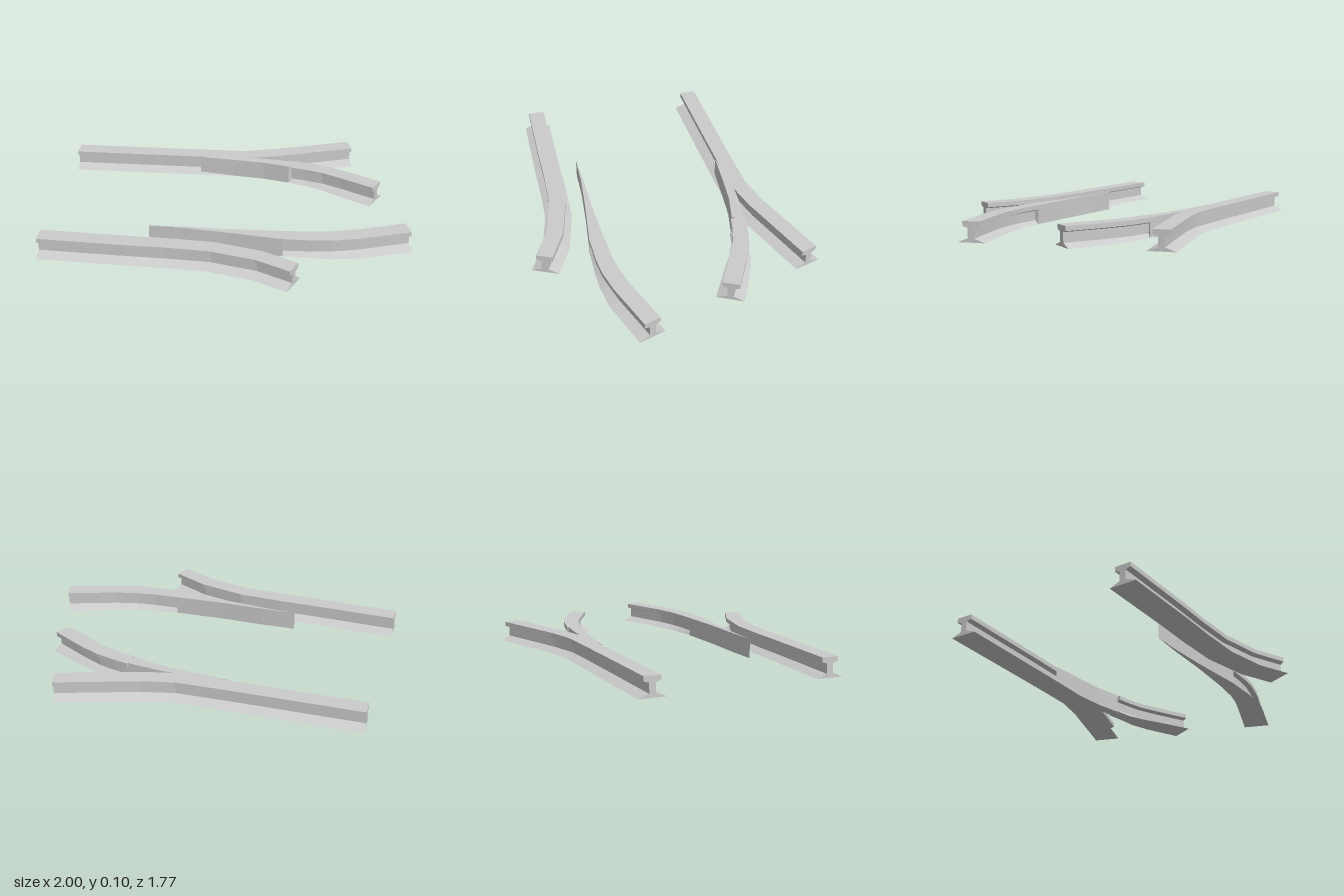
import * as THREE from 'three';

const material = new THREE.MeshStandardMaterial({ color: 0xcccccc, flatShading: true });
const TOP = 0.1;

// I-shaped rail section, counterclockwise; half widths of foot, head and web
function section(foot, head, web) {
  const right = [[foot, 0], [web, 0.02], [web, 0.069], [head, 0.077], [head, TOP]];
  const left = right.map(([u, v]) => [-u, v]).reverse();
  return [...right, ...left];
}

// Sweep the rail section along stations [x, z, footHalf, headHalf]
function rail(name, stations) {
  const rings = stations.map(([x, z, foot = 0.069, head = 0.042], i) => {
    const unit = (a, b) => new THREE.Vector2(b[0] - a[0], b[1] - a[1]).normalize();
    const prev = stations[Math.max(i - 1, 0)];
    const next = stations[Math.min(i + 1, stations.length - 1)];
    const d = new THREE.Vector2();
    if (i > 0) d.add(unit(prev, stations[i]));
    if (i < stations.length - 1) d.add(unit(stations[i], next));
    d.normalize();
    return section(foot, head, 0.016).map(([u, v]) => new THREE.Vector3(x - d.y * u, v, z + d.x * u));
  });

  const pos = [];
  const tri = (a, b, c) => [a, b, c].forEach((p) => pos.push(p.x, p.y, p.z));
  const n = rings[0].length;
  for (let i = 0; i < rings.length - 1; i++) {
    for (let j = 0; j < n; j++) {
      const k = (j + 1) % n;
      const [r, s] = [rings[i], rings[i + 1]];
      tri(s[j], s[k], r[j]);
      tri(s[k], r[k], r[j]);
    }
  }

  // End caps
  const outline = section(0.069, 0.042, 0.016).map(([u, v]) => new THREE.Vector2(u, v));
  const first = rings[0];
  const last = rings[rings.length - 1];
  for (const [a, b, c] of THREE.ShapeUtils.triangulateShape(outline, [])) {
    tri(first[a], first[b], first[c]);
    tri(last[a], last[c], last[b]);
  }

  const geometry = new THREE.BufferGeometry();
  geometry.setAttribute('position', new THREE.Float32BufferAttribute(pos, 3));
  geometry.computeVertexNormals();
  const mesh = new THREE.Mesh(geometry, material);
  mesh.name = name;
  return mesh;
}

// Solid tapered tongue, full rail height, from a plan outline of [x, z]
function blade(name, outline) {
  const shape = new THREE.Shape(outline.map(([x, z]) => new THREE.Vector2(x, -z)));
  const geometry = new THREE.ExtrudeGeometry(shape, { depth: TOP, bevelEnabled: false });
  geometry.rotateX(-Math.PI / 2);
  const mesh = new THREE.Mesh(geometry, material);
  mesh.name = name;
  return mesh;
}

export function createModel() {
  const group = new THREE.Group();
  group.name = 'railSwitch';

  // Outer running rails
  group.add(rail('backStockRail', [
    [-0.97, 0.007], [-0.5, -0.233], [-0.28, -0.347], [-0.135, -0.425],
    [0.0, -0.535], [0.307, -0.835],
  ]));
  group.add(rail('frontStockRail', [
    [-0.567, 0.82], [-0.17, 0.637], [0.0, 0.555], [0.21, 0.463], [0.44, 0.408], [0.63, 0.405],
  ]));

  // Back branch: blade leaving the stock rail, then a widening rail
  group.add(blade('backBlade', [
    [-0.33, -0.268], [-0.16, -0.335], [0.0, -0.395], [0.14, -0.43],
    [0.165, -0.505], [0.0, -0.445], [-0.15, -0.383],
  ]));
  group.add(rail('backBranchRail', [
    [0.145, -0.464, 0.038, 0.038], [0.22, -0.484, 0.038, 0.038], [0.32, -0.504, 0.053, 0.04],
    [0.43, -0.507, 0.064], [0.63, -0.503],
  ]));

  // Front branch: free blade, then a widening rail
  group.add(blade('frontBlade', [
    [-0.157, 0.467], [0.0, 0.397], [0.2, 0.32], [0.47, 0.224],
    [0.435, 0.158], [0.2, 0.285], [0.0, 0.383],
  ]));
  group.add(rail('frontBranchRail', [
    [0.45, 0.191, 0.037, 0.037], [0.58, 0.122, 0.046, 0.04], [0.66, 0.07, 0.055],
    [0.755, -0.008, 0.066], [0.945, -0.197],
  ]));

  return group;
}
